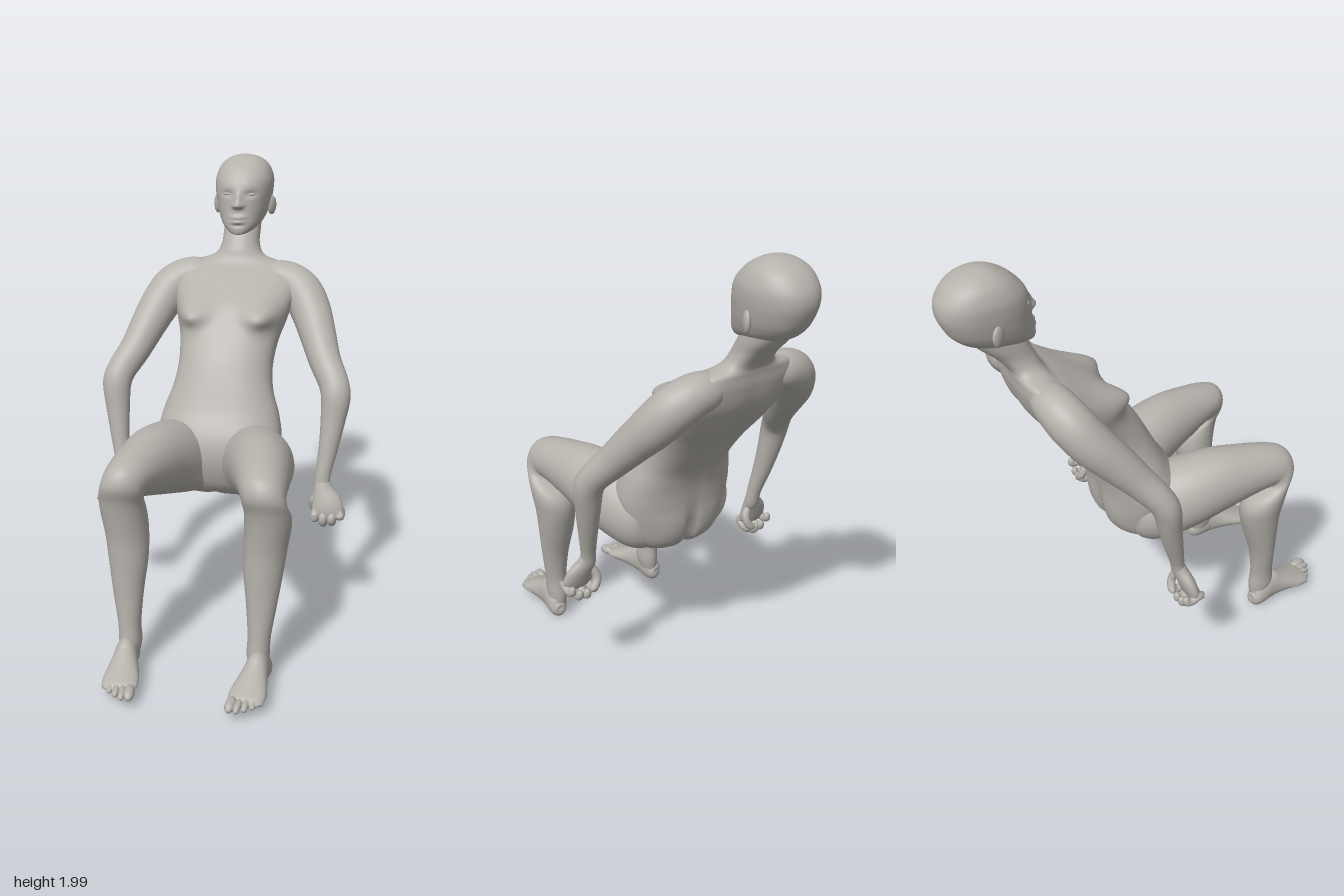
import * as THREE from 'three';

const V = (x, y, z) => new THREE.Vector3(x, y, z);

// Smooth interpolation of a table of cross-section rows, column by column.
function sampler(rows) {
  const cols = rows[0].map((_, k) => new THREE.CatmullRomCurve3(
    rows.map((r) => V(r[k], 0, 0)), false, 'catmullrom', 0.5));
  return (t) => cols.map((c) => c.getPoint(t).x);
}

// Closed skin through rings; frame(t) gives centre c and half axes u, v.
function loft(frame, steps, segs, power = 1) {
  const pos = [], index = [];
  const bend = (n) => Math.sign(n) * Math.abs(n) ** power;
  for (let i = 0; i <= steps; i++) {
    const { c, u, v } = frame(i / steps);
    for (let j = 0; j < segs; j++) {
      const a = (j / segs) * Math.PI * 2;
      const p = c.clone().addScaledVector(u, bend(Math.cos(a))).addScaledVector(v, bend(Math.sin(a)));
      pos.push(p.x, p.y, p.z);
    }
  }
  for (let i = 0; i < steps; i++) for (let j = 0; j < segs; j++) {
    const k = (j + 1) % segs, a = i * segs + j, b = i * segs + k;
    index.push(a, a + segs, b, b, a + segs, b + segs);
  }
  const first = pos.length / 3, s = frame(0).c, e = frame(1).c;
  pos.push(s.x, s.y, s.z, e.x, e.y, e.z);
  for (let j = 0; j < segs; j++) {
    const k = (j + 1) % segs;
    index.push(first, j, k, first + 1, steps * segs + k, steps * segs + j);
  }
  const g = new THREE.BufferGeometry();
  g.setAttribute('position', new THREE.Float32BufferAttribute(pos, 3));
  g.setIndex(index);
  g.computeVertexNormals();
  return g;
}

// Trunk, head or leg: rows of [front y, front z, back y, back z, half width, centre x].
function body(rows, steps, segs, power) {
  const at = sampler(rows);
  return loft((t) => {
    const [yf, zf, yb, zb, w, x = 0] = at(t);
    return { c: V(x, (yf + yb) / 2, (zf + zb) / 2), u: V(Math.max(w, 0.001), 0, 0), v: V(0, (yf - yb) / 2, (zf - zb) / 2) };
  }, steps, segs, power);
}

// Limb: rows of [x, y, z, half width, half depth], rings square to the path.
// Rings are levelled to the x axis, or to the z axis for paths that run sideways.
function limb(rows, steps = 48, segs = 32, sideways = false) {
  const at = sampler(rows);
  const point = (t) => V(...at(t).slice(0, 3));
  return loft((t) => {
    const r = at(t);
    const dir = point(Math.min(1, t + 0.01)).sub(point(Math.max(0, t - 0.01))).normalize();
    const level = (sideways ? V(0, 0, 1) : V(1, 0, 0)).projectOnPlane(dir).normalize();
    const u = sideways ? dir.clone().cross(level) : level;
    const v = sideways ? level : level.clone().cross(dir);
    return { c: V(r[0], r[1], r[2]), u: u.multiplyScalar(Math.max(r[3], 0.001)), v: v.multiplyScalar(Math.max(r[4], 0.001)) };
  }, steps, segs);
}

// Finger or toe: a round limb with domed ends.
function digit(points, r) {
  const n = points.length - 1;
  const toward = (a, b, d) => V(...a).add(V(...b).sub(V(...a)).setLength(d)).toArray();
  return limb([
    [...points[0], r * 0.3, r * 0.3], ...points.slice(1, n).map((p) => [...p, r, r]),
    [...toward(points[n], points[n - 1], r * 0.8), r * 0.85, r * 0.85],
    [...toward(points[n], points[n - 1], r * 0.2), r * 0.5, r * 0.5], [...points[n], 0, 0]], 20, 12);
}

// Soft swellings and hollows, mirrored: [centre xyz, radius xyz, push xyz].
function sculpt(g, bumps) {
  const p = g.attributes.position;
  for (let i = 0; i < p.count; i++) {
    const q = V().fromBufferAttribute(p, i), o = q.clone();
    for (const [x, y, z, rx, ry, rz, dx, dy, dz] of bumps) for (const s of x ? [1, -1] : [1]) {
      const f = Math.exp(-(((o.x - s * x) / rx) ** 2) - ((o.y - y) / ry) ** 2 - ((o.z - z) / rz) ** 2);
      q.add(V(dx * s, dy, dz).multiplyScalar(f));
    }
    p.setXYZ(i, q.x, q.y, q.z);
  }
  g.computeVertexNormals();
  return g;
}

function mirrored(geometry) {
  const g = geometry.clone().scale(-1, 1, 1), ix = g.index;
  for (let i = 0; i < ix.count; i += 3) {
    const a = ix.getX(i);
    ix.setX(i, ix.getX(i + 1));
    ix.setX(i + 1, a);
  }
  g.computeVertexNormals();
  return g;
}

function ellipsoid(rx, ry, rz, x, y, z, turn) {
  return new THREE.SphereGeometry(1, 24, 16).scale(rx, ry, rz).rotateY(turn).translate(x, y, z);
}

export function createModel() {
  const model = new THREE.Group();
  model.name = 'seatedFigure';
  const skin = new THREE.MeshStandardMaterial({ color: 0xb5b1ab });
  skin.name = 'clay grey';
  const add = (name, g) => {
    const m = new THREE.Mesh(g, skin);
    m.name = name;
    model.add(m);
  };
  const pair = (name, g) => {
    add('left' + name, g);
    add('right' + name, mirrored(g));
  };

  // Trunk, leaning back, with the neck
  const torso = body([
    [0.6, -0.02, 0.592, -0.06, 0.05], [0.622, 0.045, 0.59, -0.11, 0.155], [0.69, 0.1, 0.64, -0.168, 0.222],
    [0.8, 0.128, 0.74, -0.198, 0.26], [0.9, 0.11, 0.83, -0.21, 0.272], [1.0, 0.05, 0.92, -0.225, 0.254],
    [1.1, 0, 1.0, -0.255, 0.222], [1.206, -0.058, 1.08, -0.315, 0.208], [1.32, -0.145, 1.17, -0.385, 0.22],
    [1.4, -0.215, 1.27, -0.47, 0.25], [1.46, -0.3, 1.38, -0.545, 0.272], [1.505, -0.375, 1.47, -0.572, 0.265],
    [1.535, -0.43, 1.53, -0.578, 0.212], [1.562, -0.45, 1.565, -0.588, 0.118], [1.6, -0.465, 1.62, -0.632, 0.087],
    [1.665, -0.5, 1.685, -0.7, 0.083], [1.74, -0.55, 1.75, -0.75, 0.08]], 110, 72, 0.87);
  add('torso', sculpt(torso, [
    [0.15, 1.385, -0.2, 0.078, 0.066, 0.13, 0.01, -0.012, 0.086],
    [0, 1.2, -0.42, 0.035, 0.25, 0.2, 0, 0.006, 0.014],
    [0.1, 0.7, -0.18, 0.09, 0.1, 0.1, 0, -0.003, -0.014],
    [0, 0.68, -0.19, 0.02, 0.12, 0.1, 0, 0, 0.035],
    [0, 0.59, -0.07, 0.025, 0.05, 0.12, 0, 0.02, 0]]));

  // Head with modelled face
  const head = body([
    [1.664, -0.475, 1.69, -0.6, 0.02], [1.668, -0.459, 1.692, -0.68, 0.056], [1.7, -0.456, 1.71, -0.74, 0.088],
    [1.75, -0.466, 1.75, -0.788, 0.11], [1.8, -0.472, 1.8, -0.817, 0.123], [1.85, -0.476, 1.85, -0.832, 0.13],
    [1.9, -0.495, 1.9, -0.824, 0.129], [1.95, -0.54, 1.95, -0.787, 0.109], [1.982, -0.59, 1.982, -0.735, 0.073],
    [1.997, -0.63, 1.997, -0.685, 0.03], [2.0, -0.655, 2.0, -0.66, 0.002]], 110, 112, 0.91);
  add('head', sculpt(head, [
    [0, 1.799, -0.47, 0.018, 0.016, 0.06, 0, -0.004, 0.025],
    [0, 1.825, -0.47, 0.014, 0.028, 0.06, 0, 0, 0.013],
    [0.017, 1.792, -0.47, 0.01, 0.01, 0.05, 0, 0, 0.01],
    [0.052, 1.842, -0.49, 0.028, 0.016, 0.06, 0, 0, -0.011],
    [0, 1.742, -0.46, 0.032, 0.009, 0.05, 0, 0, 0.012],
    [0, 1.722, -0.46, 0.028, 0.009, 0.05, 0, 0, 0.01],
    [0, 1.706, -0.46, 0.03, 0.007, 0.05, 0, 0, -0.005]]));
  pair('Eye', ellipsoid(0.022, 0.008, 0.012, 0.052, 1.841, -0.504, 0.25));
  pair('Ear', ellipsoid(0.014, 0.043, 0.03, 0.127, 1.774, -0.648, -0.45));

  // Arms, growing out of the shoulder line
  pair('Arm', limb([
    [0.1, 1.472, -0.485, 0.05, 0.05], [0.17, 1.474, -0.487, 0.075, 0.078], [0.24, 1.46, -0.478, 0.086, 0.086],
    [0.3, 1.415, -0.45, 0.094, 0.09], [0.348, 1.345, -0.4, 0.09, 0.088],
    [0.387, 1.265, -0.33, 0.081, 0.08], [0.43, 1.17, -0.25, 0.071, 0.068],
    [0.477, 1.09, -0.185, 0.066, 0.06], [0.493, 1.03, -0.155, 0.064, 0.057], [0.486, 0.93, -0.135, 0.054, 0.05],
    [0.474, 0.82, -0.11, 0.043, 0.042], [0.457, 0.7, -0.08, 0.034, 0.031], [0.452, 0.63, -0.068, 0.033, 0.027],
    [0.452, 0.6, -0.06, 0.02, 0.02]], 80, 32, true));

  // Hands, loosely curled with the palm to the back
  pair('Palm', limb([
    [0.452, 0.67, -0.073, 0.03, 0.026], [0.462, 0.625, -0.06, 0.045, 0.03], [0.48, 0.575, -0.043, 0.066, 0.032],
    [0.486, 0.535, -0.032, 0.07, 0.029], [0.485, 0.512, -0.028, 0.06, 0.02], [0.485, 0.505, -0.028, 0.02, 0.008]]));
  [0.018, 0, 0.006, 0.036].forEach((lift, i) => {
    const x = 0.431 + i * 0.037, y = lift;
    pair('Finger' + (i + 1), digit([[x, 0.56, -0.035], [x, 0.525, -0.014], [x, 0.497 + y, -0.012],
      [x, 0.479 + y, -0.045], [x, 0.481 + y, -0.073], [x, 0.512 + y, -0.085]], 0.0185));
  });
  pair('Thumb', digit([[0.445, 0.62, -0.065], [0.424, 0.585, -0.065], [0.415, 0.55, -0.076],
    [0.43, 0.52, -0.085], [0.455, 0.5, -0.09]], 0.018));

  // Legs, one skin from the ankle over the bent knee to the hip, full at the inner thigh
  const leg = body([
    [0.06, 0.56, 0.06, 0.46, 0.035, 0.275], [0.13, 0.573, 0.13, 0.453, 0.047, 0.27],
    [0.22, 0.563, 0.22, 0.457, 0.048, 0.273], [0.36, 0.555, 0.36, 0.437, 0.064, 0.278],
    [0.5, 0.553, 0.5, 0.394, 0.082, 0.28], [0.6, 0.554, 0.6, 0.368, 0.089, 0.286],
    [0.7, 0.566, 0.665, 0.367, 0.094, 0.294], [0.78, 0.58, 0.715, 0.395, 0.094, 0.296],
    [0.855, 0.601, 0.755, 0.445, 0.09, 0.288], [0.915, 0.577, 0.765, 0.452, 0.092, 0.278],
    [0.945, 0.52, 0.755, 0.435, 0.099, 0.27], [0.967, 0.41, 0.735, 0.385, 0.112, 0.255],
    [0.984, 0.25, 0.69, 0.265, 0.134, 0.228], [0.965, 0.1, 0.642, 0.135, 0.155, 0.197],
    [0.935, 0, 0.607, 0.03, 0.155, 0.17], [0.9, -0.07, 0.6, -0.06, 0.138, 0.155],
    [0.85, -0.12, 0.64, -0.12, 0.1, 0.15], [0.77, -0.14, 0.71, -0.14, 0.03, 0.145]], 100, 40);
  pair('Leg', sculpt(leg, [[0.06, 0.67, 0.06, 0.05, 0.07, 0.1, -0.03, -0.012, 0]]));

  // Feet and toes
  pair('Foot', limb([
    [0.285, 0.05, 0.45, 0.004, 0.004], [0.284, 0.05, 0.458, 0.027, 0.032], [0.283, 0.055, 0.485, 0.043, 0.052],
    [0.278, 0.077, 0.525, 0.046, 0.07], [0.275, 0.091, 0.56, 0.047, 0.08], [0.271, 0.086, 0.6, 0.053, 0.065],
    [0.266, 0.078, 0.65, 0.064, 0.047],
    [0.26, 0.066, 0.71, 0.074, 0.032], [0.257, 0.06, 0.75, 0.068, 0.022], [0.254, 0.058, 0.775, 0.04, 0.008]], 54));
  [0.826, 0.828, 0.812, 0.79, 0.762].forEach((tip, i) => {
    const x = 0.203 + i * 0.029, r = i ? 0.0145 - i * 0.0005 : 0.021;
    pair('Toe' + (i + 1), digit([[x + 0.008, 0.062, tip - 0.095], [x + 0.004, 0.063, tip - 0.06],
      [x, 0.062, tip - 0.03], [x - 0.002, 0.054, tip]], r));
  });
  return model;
}
